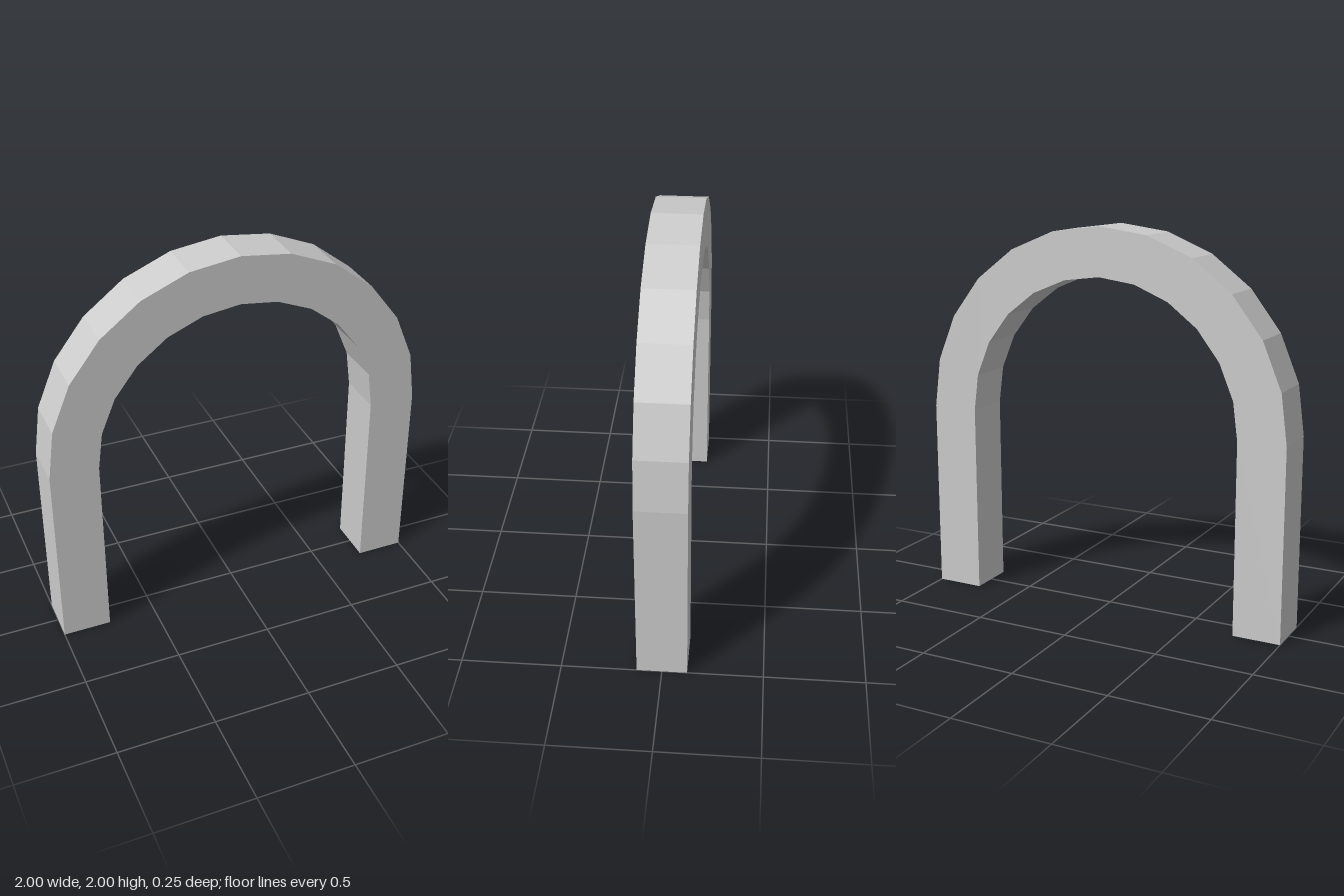
import * as THREE from 'three';

const OUTER = 1, INNER = 0.75, SPRING = 1, DEPTH = 0.25, SEGMENTS = 12;

// Points of a half circle above the legs, from +x over the top to -x
function halfCircle(radius) {
  return Array.from({ length: SEGMENTS + 1 }, (_, i) => {
    const a = (i / SEGMENTS) * Math.PI;
    return new THREE.Vector2(radius * Math.cos(a), SPRING + radius * Math.sin(a));
  });
}

export function createModel() {
  const group = new THREE.Group();
  group.name = 'archway';

  // Outline: up the outer edge, across the feet, back along the inner edge
  const outline = new THREE.Shape([
    new THREE.Vector2(OUTER, 0),
    ...halfCircle(OUTER),
    new THREE.Vector2(-OUTER, 0),
    new THREE.Vector2(-INNER, 0),
    ...halfCircle(INNER).reverse(),
    new THREE.Vector2(INNER, 0),
  ]);

  const geometry = new THREE.ExtrudeGeometry(outline, { depth: DEPTH, bevelEnabled: false });
  geometry.translate(0, 0, -DEPTH / 2);

  // Faceted arch with two straight legs
  const arch = new THREE.Mesh(
    geometry,
    new THREE.MeshStandardMaterial({ color: 0xcccccc, flatShading: true })
  );
  arch.name = 'arch';
  group.add(arch);
  return group;
}
